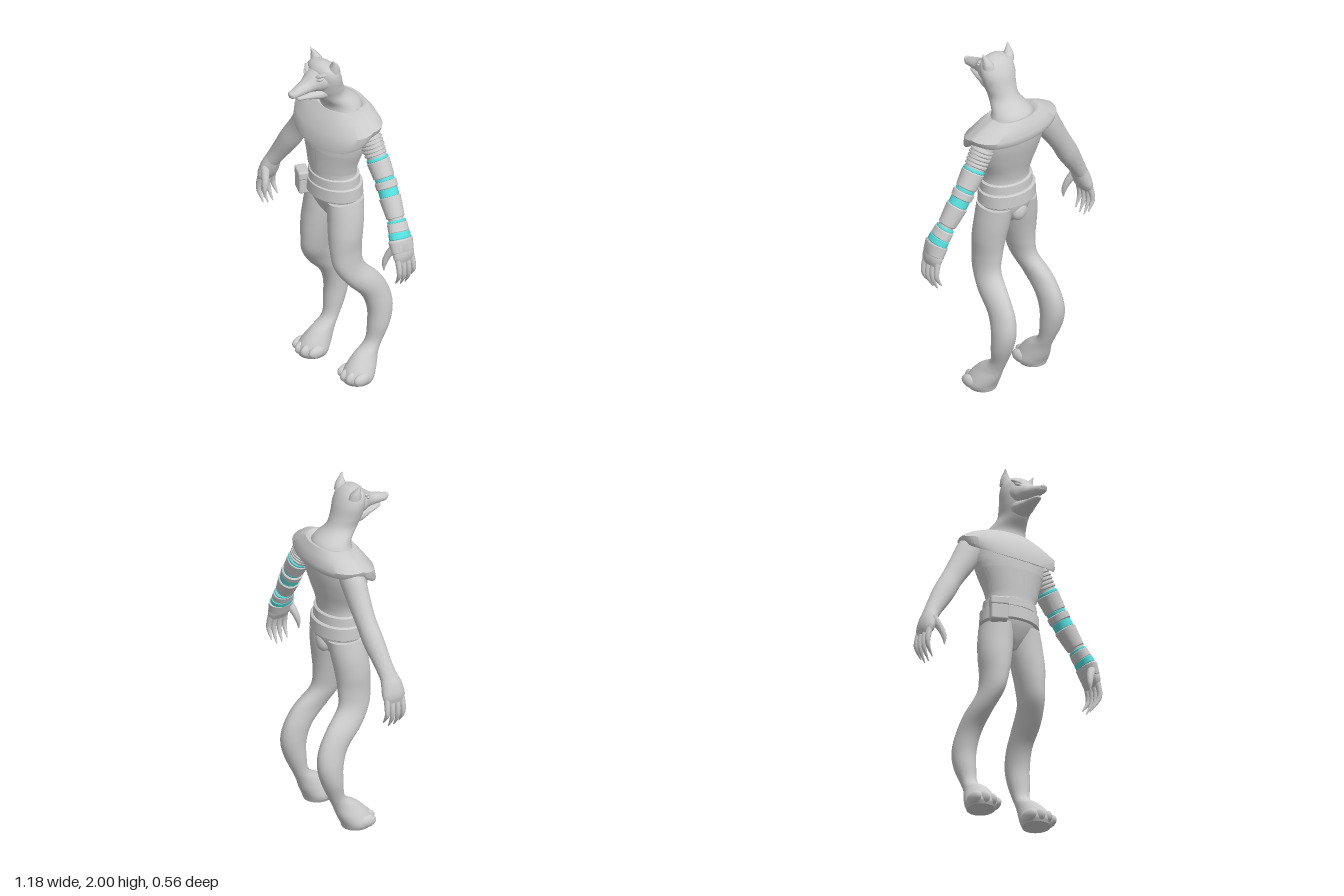
import * as THREE from 'three';
import { toCreasedNormals } from 'three/addons/utils/BufferGeometryUtils.js';
import { RoundedBoxGeometry } from 'three/addons/geometries/RoundedBoxGeometry.js';

const V = (x, y, z) => new THREE.Vector3(x, y, z);
const grey = new THREE.MeshStandardMaterial({ color: 0xcccccc });
const thin = new THREE.MeshStandardMaterial({ color: 0xcccccc, side: THREE.DoubleSide });
const cyan = new THREE.MeshStandardMaterial({ color: 0x55e0e0 });
const UP = V(0, 1, 0), FRONT = V(0, 0, 1);

// Skin over a list of rings of points
function skin(rings, { closed = true, cap = true, crease = 0.9 } = {}) {
  const n = rings[0].length, pos = [], idx = [];
  rings.forEach(r => r.forEach(p => pos.push(p.x, p.y, p.z)));
  for (let i = 0; i < rings.length - 1; i++) {
    for (let j = 0; j < (closed ? n : n - 1); j++) {
      const k = (j + 1) % n, a = i * n + j, b = i * n + k;
      idx.push(a, b, b + n, a, b + n, a + n);
    }
  }
  if (cap) [0, rings.length - 1].forEach((i, end) => {
    const c = rings[i].reduce((s, p) => s.add(p), V(0, 0, 0)).divideScalar(n);
    const m = pos.push(c.x, c.y, c.z) / 3 - 1;
    for (let j = 0; j < n; j++) {
      const a = i * n + j, b = i * n + (j + 1) % n;
      idx.push(...(end ? [m, a, b] : [m, b, a]));
    }
  });
  const g = new THREE.BufferGeometry();
  g.setAttribute('position', new THREE.Float32BufferAttribute(pos, 3));
  g.setIndex(idx);
  return toCreasedNormals(g, crease);
}

// Elliptical cross-sections [x, y, z, half width, half depth] along a fixed axis or their own path
function loft(rows, { dir, ref = FRONT, steps = 5, sides = 32, arc, crease, cap } = {}) {
  const mid = new THREE.CatmullRomCurve3(rows.map(r => V(r[0], r[1], r[2])), false, 'catmullrom');
  const rad = new THREE.CatmullRomCurve3(rows.map(r => V(r[3], r[4], 0)), false, 'catmullrom');
  const total = (rows.length - 1) * steps, rings = [];
  const [from, to] = arc || [0, Math.PI * 2];
  for (let i = 0; i <= total; i++) {
    const t = i / total, c = mid.getPoint(t), r = rad.getPoint(t);
    const w = dir || mid.getTangent(t);
    const u = ref.clone().addScaledVector(w, -ref.dot(w)).normalize();
    const v = w.clone().cross(u);
    rings.push(Array.from({ length: arc ? sides + 1 : sides }, (_, j) => {
      const q = from + (to - from) * j / sides;
      return c.clone().addScaledVector(u, Math.cos(q) * r.y).addScaledVector(v, Math.sin(q) * r.x);
    }));
  }
  return skin(rings, { closed: !arc, cap: cap ?? !arc, crease });
}

export function createModel() {
  const model = new THREE.Group();
  const add = (name, geo, mat = grey) => {
    const m = new THREE.Mesh(geo, mat);
    m.name = name;
    model.add(m);
    return m;
  };
  const blob = (name, p, r, mat) => {
    const m = add(name, new THREE.SphereGeometry(1, 24, 16), mat);
    m.position.set(...p);
    m.scale.set(...r);
    return m;
  };
  const upright = (rows, opt) => loft(rows.map(([y, z, a, b]) => [0, y, z, a, b]), { dir: UP, ...opt });

  // Torso
  add('torso', upright([[0.98, -0.04, 0.04, 0.05], [1.04, -0.045, 0.12, 0.095], [1.13, -0.04, 0.16, 0.125],
    [1.24, -0.032, 0.142, 0.112], [1.31, -0.035, 0.148, 0.117], [1.4, -0.045, 0.183, 0.132],
    [1.5, -0.06, 0.208, 0.143], [1.58, -0.075, 0.2, 0.135], [1.65, -0.085, 0.13, 0.1]], { sides: 48 }));
  blob('tailStub', [0, 1.06, -0.135], [0.05, 0.055, 0.035]);

  // Vest panels, two rows on each side of the centre seam
  const panelRows = [[[1.285, -0.033, 0.155, 0.124], [1.34, -0.036, 0.17, 0.129], [1.412, -0.043, 0.197, 0.138]],
    [[1.42, -0.043, 0.199, 0.141], [1.46, -0.05, 0.21, 0.146], [1.5, -0.055, 0.214, 0.148]]];
  for (const s of [-1, 1]) for (const rows of panelRows) {
    add('vestPanel', upright(rows, { arc: s > 0 ? [0.03, 1.75] : [-1.75, -0.03] }), thin);
  }

  // Belt bands and pouch
  const band = (name, y0, y1, z, a, b) => add(name, upright([[y0, z, a - 0.008, b - 0.008], [y0 + 0.006, z, a, b],
    [y1 - 0.006, z, a - 0.003, b - 0.003], [y1, z, a - 0.012, b - 0.012]], { steps: 1, sides: 48, crease: 0.5 }));
  band('belt', 1.115, 1.195, -0.04, 0.173, 0.138);
  band('waistSash', 1.19, 1.25, -0.035, 0.158, 0.125);
  const pouch = add('pouch', new RoundedBoxGeometry(0.095, 0.13, 0.06, 3, 0.012));
  pouch.position.set(-0.145, 1.15, 0.062);
  pouch.rotation.y = -0.45;
  const flap = add('pouchFlap', new RoundedBoxGeometry(0.101, 0.05, 0.066, 3, 0.012));
  flap.position.set(-0.145, 1.195, 0.063);
  flap.rotation.y = -0.45;

  // Shoulder mantle: half width, front z, back z, then side, front and back heights
  const mantle = [[0.255, 0.09, -0.205, 1.565, 1.465, 1.56], [0.272, 0.113, -0.225, 1.555, 1.455, 1.55],
    [0.284, 0.112, -0.232, 1.572, 1.475, 1.565], [0.29, 0.095, -0.232, 1.597, 1.55, 1.59],
    [0.225, 0.05, -0.218, 1.642, 1.615, 1.635], [0.155, 0.022, -0.196, 1.672, 1.65, 1.672],
    [0.142, 0.01, -0.186, 1.672, 1.65, 1.672], [0.125, 0, -0.17, 1.655, 1.635, 1.66]];
  add('mantle', skin(mantle.map(([a, zf, zb, ys, yf, yb]) => Array.from({ length: 72 }, (_, j) => {
    const q = j / 72 * Math.PI * 2, s = Math.sin(q), c = Math.cos(q);
    const bend = (v, e) => Math.sign(v) * Math.abs(v) ** e;
    const k = Math.abs(c) ** 0.65;
    return V(a * bend(s, 0.88), ys + ((c > 0 ? yf : yb) - ys) * k, (zf + zb) / 2 + (zf - zb) / 2 * bend(c, 0.88));
  })), { cap: false, crease: 0.7 }), thin);

  // Neck and skull
  add('neckAndSkull', upright([[1.63, -0.085, 0.135, 0.105], [1.68, -0.075, 0.112, 0.1], [1.74, -0.015, 0.083, 0.087],
    [1.8, 0.015, 0.092, 0.085], [1.87, 0.032, 0.105, 0.08], [1.92, 0.045, 0.097, 0.066],
    [1.948, 0.052, 0.066, 0.042], [1.96, 0.055, 0.02, 0.015]]));
  // Muzzle, jaw and nose
  const forward = rows => loft(rows.map(([z, y, a, b]) => [0, y, z, a, b]), { dir: FRONT, ref: UP });
  add('muzzle', forward([[0.03, 1.865, 0.09, 0.08], [0.09, 1.865, 0.082, 0.07], [0.13, 1.858, 0.058, 0.053],
    [0.17, 1.845, 0.043, 0.036], [0.225, 1.835, 0.032, 0.027], [0.262, 1.828, 0.024, 0.02], [0.277, 1.828, 0.01, 0.01]]));
  add('jaw', forward([[0.03, 1.785, 0.07, 0.055], [0.09, 1.782, 0.06, 0.038], [0.14, 1.785, 0.043, 0.024],
    [0.19, 1.79, 0.029, 0.015], [0.222, 1.793, 0.018, 0.01], [0.23, 1.794, 0.006, 0.005]]));
  blob('nose', [0, 1.836, 0.267], [0.02, 0.015, 0.015]);

  for (const s of [-1, 1]) {
    const brow = blob('brow', [s * 0.058, 1.912, 0.105], [0.034, 0.01, 0.014]);
    brow.rotation.set(0, s * 0.6, s * 0.35);
    const eye = blob('eye', [s * 0.06, 1.893, 0.116], [0.02, 0.009, 0.01]);
    eye.rotation.set(0, s * 0.7, s * 0.35);
    // Ear
    add('ear', loft([[s * 0.068, 1.915, 0.025, 0.036, 0.036], [s * 0.075, 1.945, 0.028, 0.029, 0.028],
      [s * 0.083, 1.972, 0.036, 0.016, 0.015], [s * 0.092, 2, 0.05, 0.002, 0.002]], { dir: UP, sides: 20 }));

    // Leg with heel and foot
    add('leg', loft([[0.185, 0, -0.045, 0.075, 0.08], [0.185, 0.03, -0.045, 0.088, 0.09],
      [0.182, 0.08, -0.068, 0.075, 0.092], [0.176, 0.14, -0.108, 0.055, 0.075], [0.175, 0.2, -0.163, 0.046, 0.048],
      [0.18, 0.3, -0.194, 0.06, 0.062], [0.178, 0.4, -0.205, 0.063, 0.075], [0.17, 0.5, -0.178, 0.06, 0.087],
      [0.16, 0.6, -0.105, 0.06, 0.105], [0.135, 0.7, -0.028, 0.062, 0.093], [0.12, 0.8, -0.015, 0.072, 0.095],
      [0.112, 0.9, -0.02, 0.086, 0.1], [0.1, 1, -0.032, 0.091, 0.105], [0.09, 1.1, -0.04, 0.082, 0.11]]
      .map(([x, ...r]) => [s * x, ...r]), { dir: UP }));
    [0.118, 0.162, 0.208, 0.252].forEach((x, i) => {
      const inner = i === 1 || i === 2;
      blob('toe', [s * x, 0.04, inner ? 0.002 : -0.018], [0.027, inner ? 0.04 : 0.036, 0.055]);
    });

    // Arm
    const arm = [[0.17, 1.57, -0.09, 0.06, 0.06], [0.22, 1.53, -0.092, 0.078, 0.066], [0.275, 1.445, -0.092, 0.07, 0.062],
      [0.345, 1.335, -0.09, 0.06, 0.055], [0.41, 1.23, -0.08, 0.06, 0.056], [0.48, 1.12, -0.065, 0.048, 0.048],
      [0.525, 1.045, -0.053, 0.04, 0.05]].map(([x, y, z, a, b]) =>
      [s * x, y, z, s > 0 ? a * 0.85 : a, s > 0 ? b * 0.85 : b]);
    add('arm', loft(arm));
    // Hand, fingers and thumb
    add('hand', loft([[s * 0.51, 1.075, -0.056, 0.038, 0.046], [s * 0.535, 1.02, -0.05, 0.042, 0.06],
      [s * 0.554, 0.965, -0.048, 0.036, 0.068], [s * 0.563, 0.925, -0.048, 0.02, 0.058]]));
    [[-0.1, 0.03], [-0.067, 0], [-0.033, 0], [0, 0.015]].forEach(([z, lift]) => add('finger', loft([
      [s * 0.558, 0.96, z * 0.9 - 0.004, 0.018, 0.018], [s * 0.574, 0.89, z, 0.015, 0.015],
      [s * 0.57, 0.835 + lift * 0.6, z - 0.002, 0.012, 0.012], [s * 0.54, 0.775 + lift, z - 0.005, 0.003, 0.003]], { sides: 12 })));
    add('thumb', loft([[s * 0.532, 1.02, -0.01, 0.024, 0.026], [s * 0.502, 0.96, 0.015, 0.019, 0.02],
      [s * 0.489, 0.91, 0.03, 0.014, 0.014], [s * 0.488, 0.862, 0.034, 0.003, 0.003]], { sides: 14 }));
  }

  // Armour sleeve on the left arm: cuffs placed by fraction of the arm's length
  const path = new THREE.CatmullRomCurve3([V(0.22, 1.54, -0.092), V(0.27, 1.455, -0.092), V(0.345, 1.335, -0.09),
    V(0.41, 1.23, -0.08), V(0.48, 1.12, -0.065), V(0.53, 1.03, -0.05), V(0.555, 0.96, -0.048)]);
  const cuff = (name, t0, t1, r0, r1, mat = grey, wide = 1) => {
    const bevel = Math.min(0.008, (t1 - t0) * 0.25);
    add(name, loft([[t0, r0 * 0.9], [t0 + bevel, r0], [t1 - bevel, r1], [t1, r1 * 0.9]].map(([t, r]) =>
      [...path.getPointAt(t).toArray(), r, r * wide]), { steps: 1, crease: 0.5 }), mat);
  };
  for (let i = 0; i < 5; i++) cuff('shoulderRing', 0.02 + i * 0.032, 0.047 + i * 0.032, 0.066 - i * 0.001, 0.066 - i * 0.001);
  cuff('upperArmLight', 0.19, 0.22, 0.061, 0.061, cyan);
  cuff('upperArmPlate', 0.215, 0.365, 0.064, 0.058);
  cuff('elbowLight', 0.36, 0.395, 0.053, 0.053, cyan);
  cuff('elbowPlate', 0.39, 0.455, 0.061, 0.06);
  cuff('forearmLight', 0.45, 0.525, 0.054, 0.054, cyan);
  cuff('forearmPlate', 0.52, 0.7, 0.06, 0.05);
  cuff('wristLight', 0.715, 0.74, 0.045, 0.045, cyan, 1.2);
  cuff('gauntletCuff', 0.735, 0.815, 0.046, 0.047, grey, 1.3);
  cuff('gauntletLight', 0.81, 0.87, 0.046, 0.046, cyan, 1.42);
  cuff('gauntletPlate', 0.865, 0.97, 0.046, 0.042, grey, 1.65);
  return model;
}
